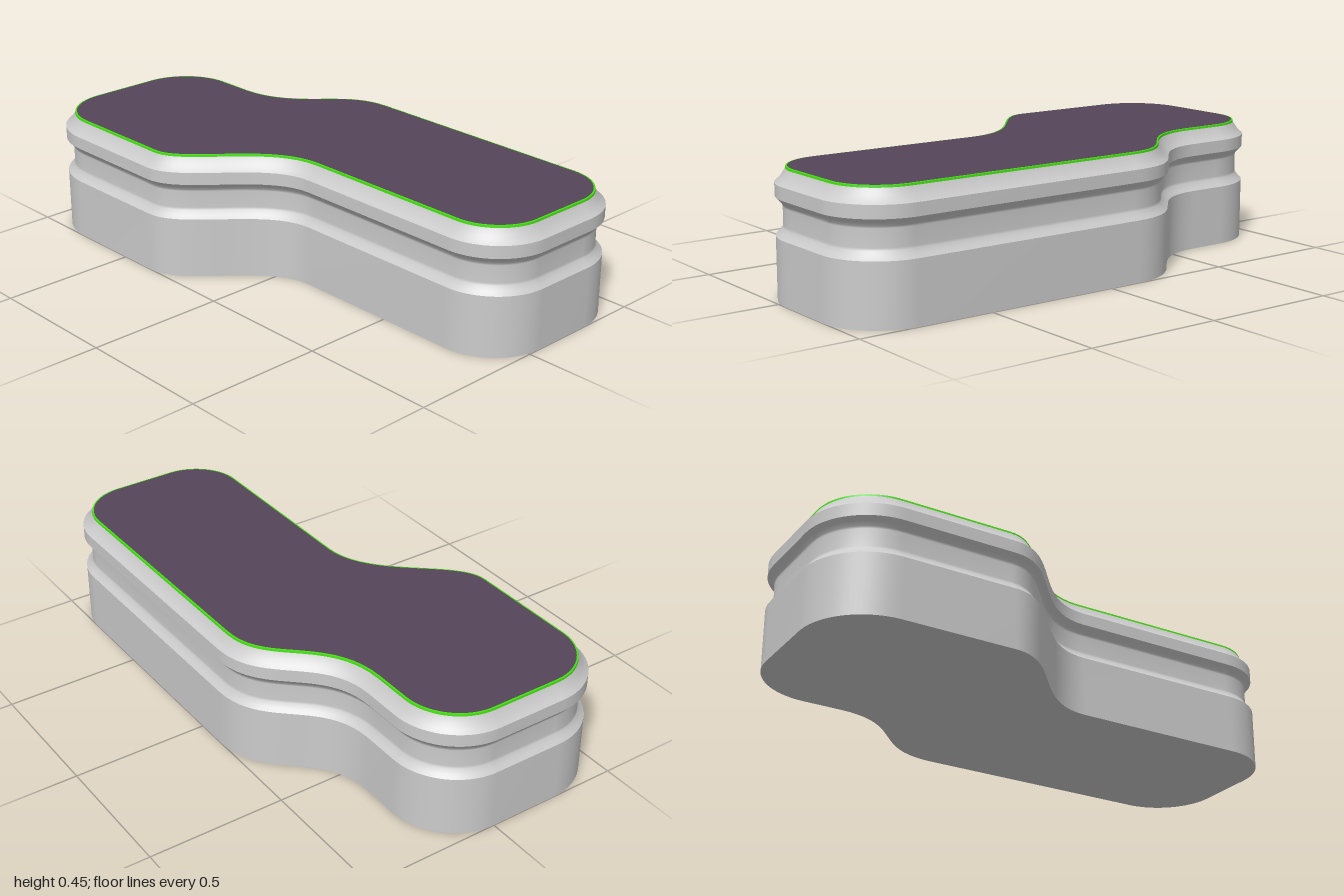
import * as THREE from 'three';

// Footprint in plan (x, z): two offset rounded blocks joined by S-curves
function footprint() {
  const s = new THREE.Shape();
  const k = 0.45; // corner handle ratio for near-circular corners
  const corner = (x0, z0, cx, cz, x1, z1) => s.bezierCurveTo(
    cx + (x0 - cx) * k, cz + (z0 - cz) * k, cx + (x1 - cx) * k, cz + (z1 - cz) * k, x1, z1);
  s.moveTo(-0.12, -0.5);
  s.lineTo(0.78, -0.5);
  corner(0.78, -0.5, 1, -0.5, 1, -0.28);
  s.lineTo(1, -0.05);
  corner(1, -0.05, 1, 0.17, 0.78, 0.17);
  s.lineTo(0.13, 0.17);
  s.bezierCurveTo(-0.09, 0.17, -0.17, 0.5, -0.35, 0.5);
  s.lineTo(-0.76, 0.5);
  corner(-0.76, 0.5, -1, 0.5, -1, 0.26);
  s.lineTo(-1, 0);
  corner(-1, 0, -1, -0.235, -0.76, -0.235);
  s.lineTo(-0.62, -0.235);
  s.bezierCurveTo(-0.36, -0.235, -0.38, -0.5, -0.12, -0.5);
  const pts = s.getPoints(20);
  return pts.filter((p, i) => p.distanceTo(pts[(i + 1) % pts.length]) > 1e-5);
}

// Move the outline inwards by a distance, along the averaged edge normals
function inset(pts, d) {
  const n = pts.length;
  return pts.map((p, i) => {
    const a = pts[(i + n - 1) % n], b = pts[(i + 1) % n];
    const t = p.clone().sub(a).normalize().add(b.clone().sub(p).normalize()).normalize();
    return new THREE.Vector2(p.x - t.y * d, p.y + t.x * d);
  });
}

// Closed wall through [inset, y] rings, smooth within the band
function band(pts, profile) {
  const pos = [], idx = [], n = pts.length;
  for (const [d, y] of profile) for (const p of inset(pts, d)) pos.push(p.x, y, p.y);
  for (let r = 0; r < profile.length - 1; r++) {
    for (let i = 0; i < n; i++) {
      const a = r * n + i, b = r * n + (i + 1) % n;
      idx.push(a, a + n, b, b, a + n, b + n);
    }
  }
  const g = new THREE.BufferGeometry();
  g.setAttribute('position', new THREE.Float32BufferAttribute(pos, 3));
  g.setIndex(idx);
  g.computeVertexNormals();
  return g;
}

// Flat cap at height y, facing up or down
function cap(pts, d, y, up) {
  const shape = new THREE.Shape(inset(pts, d).map(p => new THREE.Vector2(p.x, up ? -p.y : p.y)));
  return new THREE.ShapeGeometry(shape).rotateX(up ? -Math.PI / 2 : Math.PI / 2).translate(0, y, 0);
}

export function createModel() {
  const group = new THREE.Group();
  const grey = new THREE.MeshStandardMaterial({ color: 0xcccccc });
  const purple = new THREE.MeshStandardMaterial({ color: 0x55455a });
  const green = new THREE.MeshStandardMaterial({ color: 0x44dd11 });
  const pts = footprint();
  const add = (name, geometry, material) => {
    const m = new THREE.Mesh(geometry, material);
    m.name = name;
    group.add(m);
  };

  // Plinth
  add('baseWall', band(pts, [[0, 0], [0, 0.22]]), grey);
  add('underside', cap(pts, 0, 0, false), grey);
  // Recessed groove with sloping lips
  add('groove', band(pts, [[0, 0.22], [0.012, 0.232], [0.023, 0.247], [0.025, 0.256],
    [0.025, 0.318], [0.023, 0.326], [0.012, 0.339], [0, 0.352]]), grey);
  // Upper rim and its hollow bevel
  add('rim', band(pts, [[0, 0.352], [0, 0.397]]), grey);
  add('bevel', band(pts, [[0, 0.397], [0.013, 0.408], [0.023, 0.421], [0.031, 0.433], [0.036, 0.443]]), grey);
  // Bright trim line around the top surface
  add('trim', band(pts, [[0.036, 0.443], [0.037, 0.45]]), green);
  add('trimEdge', band(pts, [[0.037, 0.45], [0.043, 0.451]]), green);
  add('topSurface', cap(pts, 0.043, 0.451, true), purple);
  return group;
}
